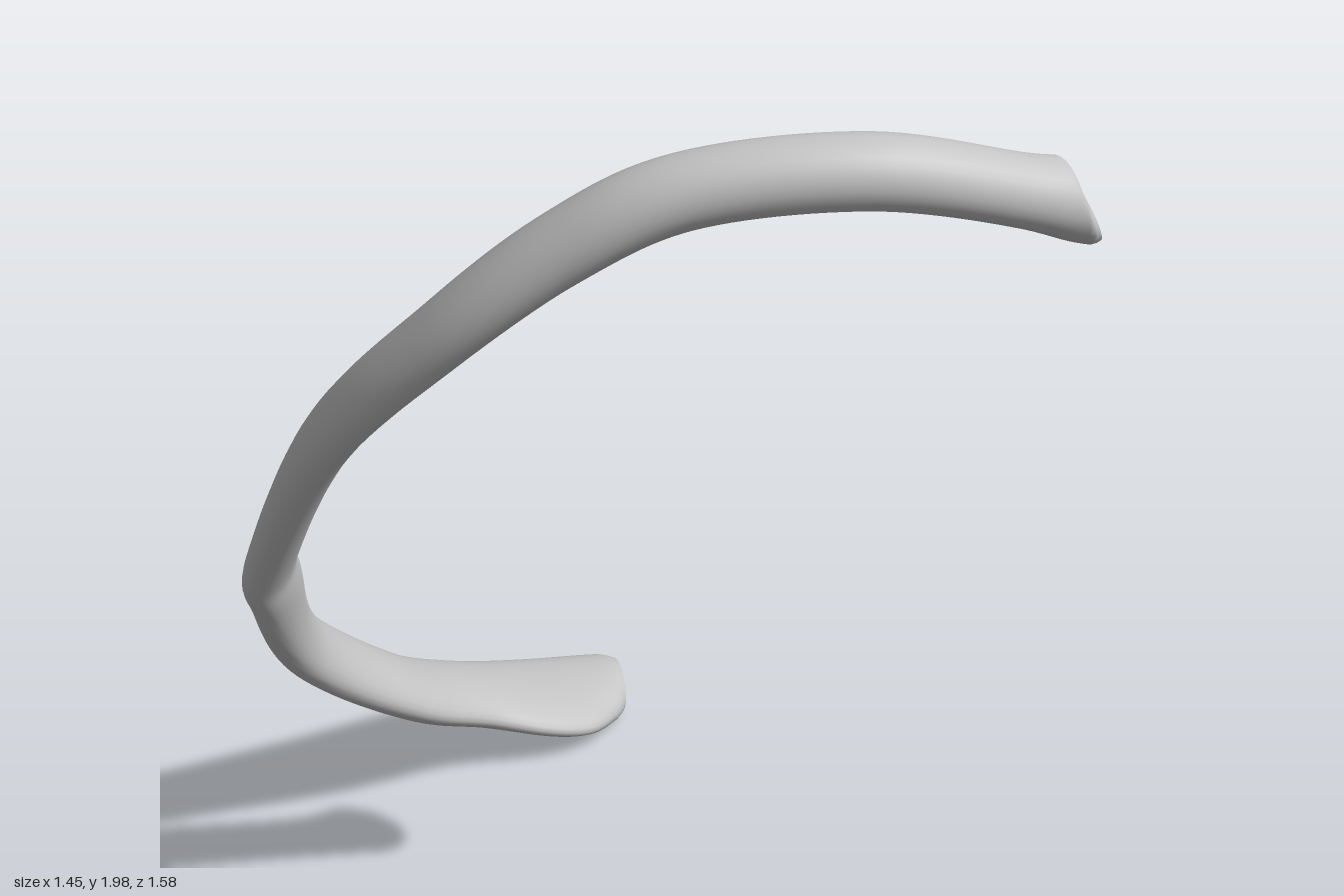
import * as THREE from 'three';

// Stations from the upper end to the lower end:
// centre x, y, z | wide axis x, y, z | half width, half thickness
const STATIONS = [
  [0.69, 1.82, 0.69, 0, 0.7, -0.7, 0.085, 0.08],
  [0.58, 1.865, 0.72, 0, 0.7, -0.7, 0.066, 0.058],
  [0.3, 1.93, 0.73, 0, 0.7, -0.7, 0.068, 0.06],
  [0, 1.905, 0.69, 0.1, 0.7, -0.7, 0.068, 0.06],
  [-0.2, 1.8, 0.64, 0.2, 0.65, -0.7, 0.07, 0.057],
  [-0.4, 1.61, 0.55, 0.3, 0.6, -0.7, 0.07, 0.053],
  [-0.58, 1.34, 0.37, 0.4, 0.5, -0.65, 0.072, 0.05],
  [-0.665, 0.96, 0.1, 0.55, 0.45, -0.62, 0.075, 0.045],
  [-0.655, 0.82, 0, 0.45, 0.45, -0.65, 0.075, 0.046],
  [-0.585, 0.56, -0.2, 0, 0.42, -0.8, 0.076, 0.05],
  [-0.37, 0.31, -0.4, -0.4, 0.25, -0.85, 0.105, 0.05],
  [-0.2, 0.185, -0.53, -0.45, 0.18, -0.85, 0.117, 0.045],
  [0, 0.1, -0.61, -0.3, 0.1, -0.93, 0.145, 0.042],
  [0.18, 0.06, -0.695, 0, 0.12, -0.98, 0.1, 0.045],
];
const RINGS = 150;
const SIDES = 28;

const curveOf = (pick) =>
  new THREE.CatmullRomCurve3(STATIONS.map((s) => new THREE.Vector3(...pick(s))), false, 'catmullrom', 0.5);

// Cross-section rings swept along the twisted path
function makeRings() {
  const path = curveOf((s) => s.slice(0, 3));
  const wide = curveOf((s) => s.slice(3, 6));
  const size = curveOf((s) => [s[6], s[7], 0]);
  const startNormal = new THREE.Vector3(-0.9, -0.42, 0.05).normalize();
  const endNormal = new THREE.Vector3(0.97, -0.22, 0).normalize();
  const rings = [];
  for (let i = 0; i <= RINGS; i++) {
    const t = i / RINGS;
    const centre = path.getPoint(t);
    const tangent = path.getTangent(t);
    // the two ends are cut at a slant
    tangent.lerp(startNormal, Math.max(0, 1 - t / 0.07));
    tangent.lerp(endNormal, Math.max(0, 1 - (1 - t) / 0.07)).normalize();
    const w = wide.getPoint(t);
    w.addScaledVector(tangent, -w.dot(tangent)).normalize();
    const n = new THREE.Vector3().crossVectors(tangent, w);
    const s = size.getPoint(t);
    // edges round over slightly at the cuts
    const edge = Math.min(i, RINGS - i);
    const k = [0.86, 0.95][edge] ?? 1;
    const ring = [];
    for (let j = 0; j < SIDES; j++) {
      const a = (j / SIDES) * Math.PI * 2;
      ring.push(centre.clone()
        .addScaledVector(w, Math.cos(a) * s.x * k)
        .addScaledVector(n, Math.sin(a) * s.y * k));
    }
    rings.push(ring);
  }
  return rings;
}

function geometryFrom(points, index) {
  const geometry = new THREE.BufferGeometry().setFromPoints(points);
  geometry.setIndex(index);
  geometry.computeVertexNormals();
  return geometry;
}

function shaftGeometry(rings) {
  const index = [];
  for (let i = 0; i < RINGS; i++) {
    for (let j = 0; j < SIDES; j++) {
      const k = (j + 1) % SIDES;
      const a = i * SIDES + j, b = i * SIDES + k;
      index.push(a, b, a + SIDES, b, b + SIDES, a + SIDES);
    }
  }
  return geometryFrom(rings.flat(), index);
}

function capGeometry(ring, flip) {
  const centre = new THREE.Vector3();
  ring.forEach((p) => centre.addScaledVector(p, 1 / SIDES));
  const index = [];
  for (let j = 0; j < SIDES; j++) {
    const k = (j + 1) % SIDES;
    index.push(SIDES, flip ? k : j, flip ? j : k);
  }
  return geometryFrom([...ring, centre], index);
}

export function createModel() {
  const group = new THREE.Group();
  group.name = 'ribBone';
  const bone = new THREE.MeshStandardMaterial({ color: 0xc4c4c4 });
  bone.name = 'bone grey';
  const rings = makeRings();
  const add = (name, geometry) => {
    const mesh = new THREE.Mesh(geometry, bone);
    mesh.name = name;
    group.add(mesh);
  };
  add('ribShaft', shaftGeometry(rings));
  add('upperEnd', capGeometry(rings[0], true));
  add('lowerEnd', capGeometry(rings[RINGS], false));
  return group;
}
